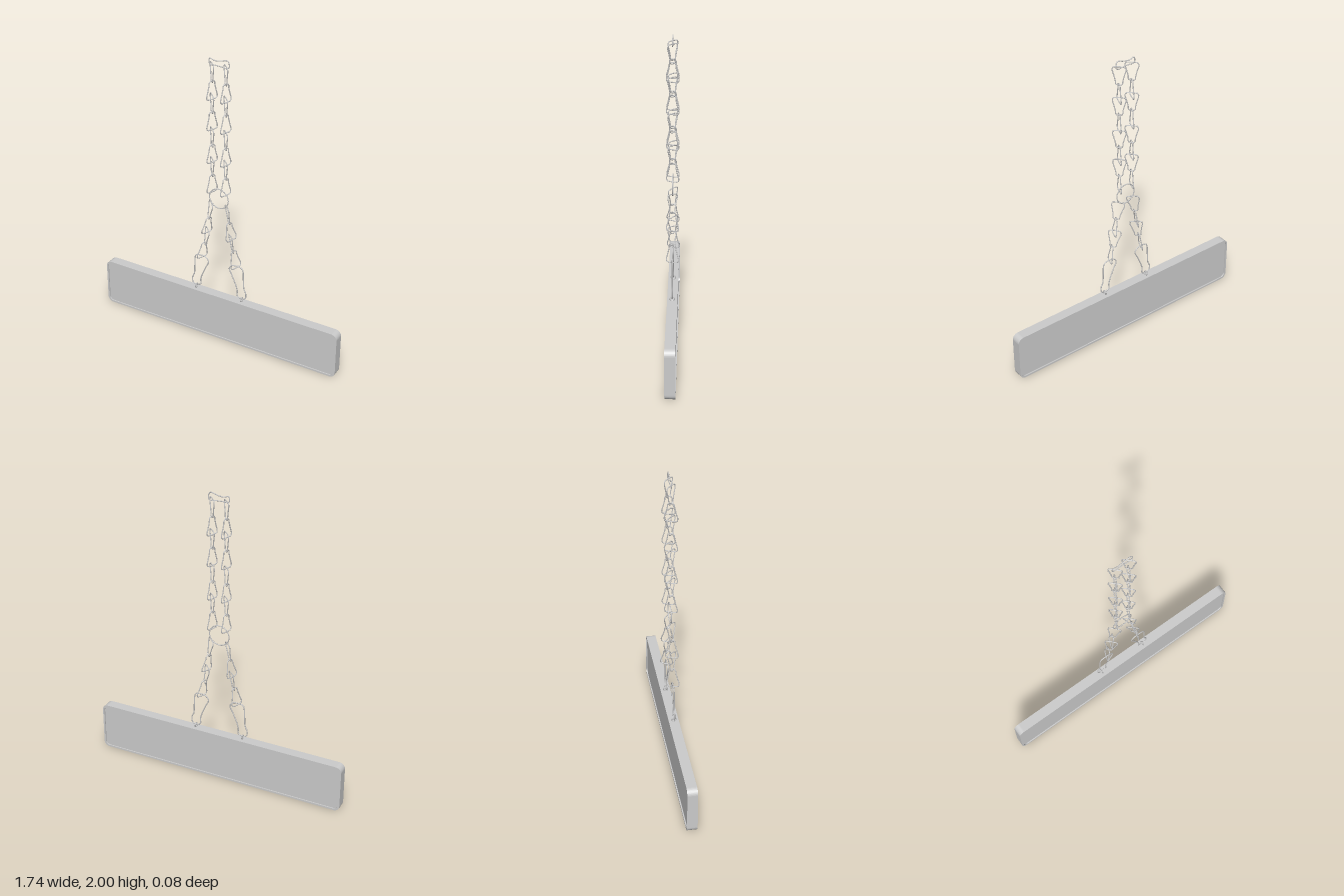
import * as THREE from 'three';

const WIRE = 0.0036;
const metal = new THREE.MeshStandardMaterial({ color: 0xcccccc });

// Closed wire bent through a few [x, y] points
function wire(points, radius = WIRE, segments = 56) {
  const curve = new THREE.CatmullRomCurve3(
    points.map(([x, y]) => new THREE.Vector3(x, y, 0)), true, 'centripetal');
  return new THREE.TubeGeometry(curve, segments, radius, 6, true);
}

// Tapered chain link, widest at the bottom (dir = 1) or at the top (dir = -1)
function linkGeometry(dir) {
  const half = [
    [0.015, -0.06], [0.036, -0.056], [0.041, -0.04], [0.033, -0.01],
    [0.022, 0.035], [0.021, 0.051], [0.011, 0.06],
  ];
  const loop = [...half, ...half.map(([x, y]) => [-x, y]).reverse()];
  return wire(loop.map(([x, y]) => [x, y * dir]));
}

function roundedRect(w, h, r, PathType = THREE.Shape) {
  const p = new PathType();
  const x = w / 2, y = h / 2;
  p.moveTo(-x + r, -y);
  p.lineTo(x - r, -y);
  p.absarc(x - r, -y + r, r, -Math.PI / 2, 0);
  p.lineTo(x, y - r);
  p.absarc(x - r, y - r, r, 0, Math.PI / 2);
  p.lineTo(-x + r, y);
  p.absarc(-x + r, y - r, r, Math.PI / 2, Math.PI);
  p.lineTo(-x, -y + r);
  p.absarc(-x + r, -y + r, r, Math.PI, Math.PI * 1.5);
  return p;
}

function slab(shape, depth) {
  const g = new THREE.ExtrudeGeometry(shape, { depth, bevelEnabled: false, curveSegments: 8 });
  return g.translate(0, 0, -depth / 2);
}

export function createModel() {
  const model = new THREE.Group();
  model.name = 'hangingSign';
  const add = (name, geometry, parent = model) => {
    const mesh = new THREE.Mesh(geometry, metal);
    mesh.name = name;
    parent.add(mesh);
    return mesh;
  };

  // Board: thin raised rim around a panel recessed on both faces
  const rim = roundedRect(1.74, 0.328, 0.04);
  rim.holes.push(roundedRect(1.716, 0.304, 0.03, THREE.Path));
  add('boardRim', slab(rim, 0.066)).position.y = 0.165;
  add('boardPanel', slab(roundedRect(1.718, 0.306, 0.031), 0.05)).position.y = 0.165;

  // Chain links alternate between two shapes and two turns about the chain
  const kinds = [
    { geometry: linkGeometry(-1), yaw: -Math.PI / 4 },
    { geometry: linkGeometry(1), yaw: -1.93 },
  ];
  const addLink = (parent, i, x, y, lean = 0) => {
    const { geometry, yaw } = kinds[i % 2];
    const link = add('chainLink', geometry, parent);
    link.position.set(x, y, 0);
    link.rotation.set(0, yaw, lean, 'XYZ');
    link.rotation.order = 'ZYX';
  };

  const upperHeights = [1.9, 1.785, 1.695, 1.582, 1.467, 1.357, 1.262, 1.147];
  const lowerCentres = [[0.066, 0.948], [0.083, 0.833], [0.093, 0.743], [0.118, 0.636]];
  const hookPoints = [
    [0.1, 0.585], [0.135, 0.59], [0.168, 0.583], [0.178, 0.565], [0.182, 0.5],
    [0.187, 0.43], [0.199, 0.405], [0.2, 0.37], [0.188, 0.354], [0.155, 0.354],
    [0.138, 0.365], [0.138, 0.4], [0.131, 0.43], [0.1, 0.505], [0.078, 0.558],
  ];

  for (const side of [-1, 1]) {
    const prefix = side > 0 ? 'left' : 'right';

    const upper = new THREE.Group();
    upper.name = prefix + 'UpperChain';
    upperHeights.forEach((y, i) => addLink(upper, i, side * 0.048, y));

    const lower = new THREE.Group();
    lower.name = prefix + 'LowerChain';
    lowerCentres.forEach(([x, y], i) => addLink(lower, i, side * x, y, side * 0.17));
    model.add(upper, lower);

    // Pear-shaped hook and the eyelet it holds
    add(prefix + 'Hook', wire(hookPoints.map(([x, y]) => [side * x, y]), 0.004, 80));
    const eyelet = add(prefix + 'Eyelet', new THREE.TorusGeometry(0.014, 0.0035, 6, 20));
    eyelet.position.set(side * 0.17, 0.344, 0);
    eyelet.rotation.y = Math.PI / 2;
  }

  // Ring joining the upper and lower chains
  add('centreRing', new THREE.TorusGeometry(0.068, WIRE, 6, 40)).position.y = 1.05;

  // Waisted link tying the two upper chains together
  add('topLink', wire([
    [-0.068, 1.975], [-0.062, 1.99], [-0.048, 1.987], [-0.03, 1.981], [0.02, 1.988],
    [0.045, 1.996], [0.062, 1.995], [0.071, 1.975], [0.068, 1.953], [0.052, 1.946],
    [0.02, 1.95], [-0.03, 1.952], [-0.055, 1.95], [-0.066, 1.958],
  ], 0.0034, 72));

  return model;
}
